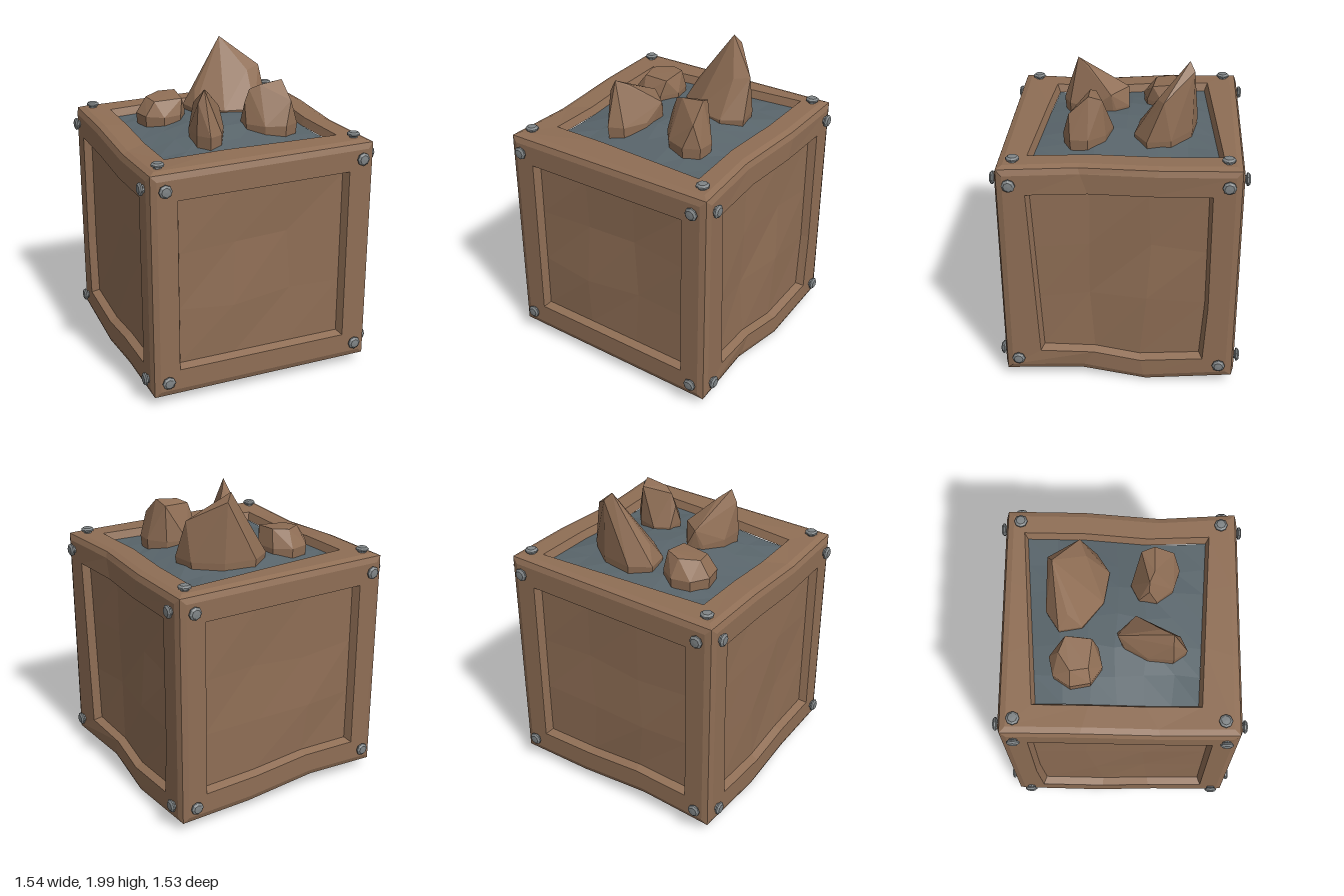
import * as THREE from 'three';
import { ConvexGeometry } from 'three/addons/geometries/ConvexGeometry.js';

const V = (x, y, z) => new THREE.Vector3(x, y, z);
const wood = new THREE.MeshStandardMaterial({ name: 'brown', color: 0x8f6e55, flatShading: true });
const slate = new THREE.MeshStandardMaterial({ name: 'slate', color: 0x59656b, flatShading: true });
const metal = new THREE.MeshStandardMaterial({ name: 'grey metal', color: 0x7f8486, flatShading: true });

const HALF = V(0.735, 0.74, 0.73), MID_Y = 0.8;
const X = V(1, 0, 0), Y = V(0, 1, 0), Z = V(0, 0, 1);

// seeded jitter in -1..1
let seed = 11;
const jitter = () => {
  seed = (seed * 16807) % 2147483647;
  return (seed / 2147483647) * 2 - 1;
};

// tent curve: 0 at a and c, 1 at b
const tent = (t, a, b, c) => Math.max(0, Math.min((t - a) / (b - a), (c - t) / (c - b)));

// hand-hewn warp of the straight box: dipping bottom rails, dented left side, tilted top
function warp(p) {
  const low = THREE.MathUtils.clamp((0.5 - p.y) / 0.25, 0, 1);
  const high = THREE.MathUtils.clamp((p.y - 1) / 0.3, 0, 1);
  const side = Math.min(1, Math.abs(p.x) / 0.55);
  const back = tent(p.z, -0.7, -0.23, 0.23), front = tent(p.z, -0.23, 0.23, 0.7);
  const q = p.clone();
  q.y += low * side * (-0.05 * back - 0.005 * front) + high * (0.012 * p.x - 0.014 * p.z) / 0.7;
  q.z += low * side * 0.07 * back;
  if (p.x > 0.3) q.x -= 0.035 * front;
  if (p.x < -0.3) q.y -= 0.025 * high * front;
  if (p.z < -0.3) q.y += 0.035 * low * tent(p.x, -0.7, -0.24, 0.24);
  return q;
}

// faces: normal n, axes u and v, opening corners counter-clockwise
const square = [[-0.56, -0.56], [0.56, -0.56], [0.56, 0.56], [-0.56, 0.56]];
const slanted = [[-0.5, -0.58], [0.55, -0.58], [0.55, 0.56], [-0.55, 0.56]];
const skewed = [[-0.55, -0.49], [0.57, -0.55], [0.57, 0.61], [-0.55, 0.53]];
const faces = [
  { name: 'front', n: Z, u: X, v: Y, open: square },
  { name: 'back', n: Z.clone().negate(), u: X.clone().negate(), v: Y, open: square },
  { name: 'left', n: X, u: Z.clone().negate(), v: Y, open: slanted },
  { name: 'right', n: X.clone().negate(), u: Z, v: Y, open: square },
  { name: 'top', n: Y, u: X, v: Z.clone().negate(), open: skewed },
  { name: 'bottom', n: Y.clone().negate(), u: X, v: Z, open: square },
];
const half = (axis) => Math.abs(axis.dot(HALF));
const place = (f, a, b, w) => warp(V(0, MID_Y, 0).addScaledVector(f.u, a).addScaledVector(f.v, b).addScaledVector(f.n, w));
const shrink = (c) => c.map(([a, b]) => [a - Math.sign(a) * 0.02, b - Math.sign(b) * 0.02]);

function meshFrom(name, tris, material) {
  const geo = new THREE.BufferGeometry().setFromPoints(tris);
  geo.computeVertexNormals();
  const mesh = new THREE.Mesh(geo, material);
  mesh.name = name;
  return mesh;
}
const quad = (out, a, b, c, d) => out.push(a, b, c, a, c, d);

// twelve points round four corners, three to a side
function ring(f, corners, w) {
  const pts = [];
  corners.forEach((c, i) => {
    const d = corners[(i + 1) % 4];
    for (let k = 0; k < 3; k++) {
      const t = k / 3;
      pts.push(place(f, c[0] + (d[0] - c[0]) * t, c[1] + (d[1] - c[1]) * t, w));
    }
  });
  return pts;
}

// rounded frame with a sloping rebate
function buildFrame(f) {
  const w = half(f.n), hu = half(f.u), hv = half(f.v);
  const outline = (c) => [[-hu + c, -hv + c], [hu - c, -hv + c], [hu - c, hv - c], [-hu + c, hv - c]];
  const rings = [
    ring(f, outline(0.014), w - 0.014),
    ring(f, outline(0.05), w),
    ring(f, f.open, w),
    ring(f, shrink(f.open), w - 0.05),
  ];
  const tris = [];
  for (let r = 0; r < 3; r++) {
    for (let i = 0; i < 12; i++) {
      const j = (i + 1) % 12;
      quad(tris, rings[r][i], rings[r][j], rings[r + 1][j], rings[r + 1][i]);
    }
  }
  return meshFrom(f.name + 'Frame', tris, wood);
}

// uneven recessed panel on an n by n grid, raised in the middle by bulge
function buildPanel(f, n, rough, bulge, name, material) {
  const c = shrink(f.open), grid = [], tris = [];
  for (let j = 0; j <= n; j++) {
    for (let i = 0; i <= n; i++) {
      const s = i / n, t = j / n;
      const at = (k) => (c[0][k] * (1 - s) + c[1][k] * s) * (1 - t) + (c[3][k] * (1 - s) + c[2][k] * s) * t;
      const inner = i > 0 && j > 0 && i < n && j < n ? 1 : 0;
      const lift = inner * (jitter() * rough + bulge * Math.sin(Math.PI * s) * Math.sin(Math.PI * t));
      const shift = (inner * 0.12) / n;
      grid.push(place(f, at(0) + jitter() * shift, at(1) + jitter() * shift, half(f.n) - 0.05 + lift));
    }
  }
  for (let j = 0; j < n; j++) {
    for (let i = 0; i < n; i++) {
      const k = j * (n + 1) + i;
      quad(tris, grid[k], grid[k + 1], grid[k + n + 2], grid[k + n + 1]);
    }
  }
  return meshFrom(name, tris, material);
}

// faceted bolt with a domed cap, axis along +y
const boltProfile = [[0.026, -0.01], [0.026, 0.008], [0.041, 0.014], [0.041, 0.024], [0.028, 0.034], [0, 0.036]];
const boltGeometry = new THREE.LatheGeometry(boltProfile.map(([r, y]) => new THREE.Vector2(r, y)), 8);

function buildBolts(f) {
  const group = new THREE.Group();
  group.name = f.name + 'Bolts';
  for (const a of [-0.64, 0.64]) {
    for (const b of [-0.625, 0.635]) {
      const bolt = new THREE.Mesh(boltGeometry, metal);
      bolt.name = 'bolt';
      bolt.position.copy(place(f, a, b, half(f.n)));
      bolt.quaternion.setFromUnitVectors(Y, f.n);
      group.add(bolt);
    }
  }
  return group;
}

// chipped rock: an eight-sided oval foot (long axis turned by angle in x, z) hulled with a few peaks
function buildRock(name, cx, cz, long, short, angle, peaks) {
  const pts = peaks.map((p) => V(...p));
  for (let i = 0; i < 8; i++) {
    const t = (i / 8) * Math.PI * 2;
    for (const [y, size] of [[1.47, 0.95], [1.57, 1]]) {
      const a = Math.cos(t) * long * size, b = Math.sin(t) * short * size;
      pts.push(V(cx + a * Math.cos(angle) - b * Math.sin(angle), y, cz + a * Math.sin(angle) + b * Math.cos(angle)));
    }
  }
  const rock = new THREE.Mesh(new ConvexGeometry(pts), wood);
  rock.name = name;
  return rock;
}

export function createModel() {
  const model = new THREE.Group();
  model.name = 'crateOfRocks';
  for (const f of faces) {
    model.add(buildFrame(f));
    if (f.name === 'top') model.add(buildPanel(f, 6, 0.008, 0.075, 'slateFill', slate));
    else model.add(buildPanel(f, 3, 0.018, 0, f.name + 'Panel', wood));
    if (f.name !== 'bottom') model.add(buildBolts(f));
  }
  model.add(
    buildRock('tallRock', 0.165, -0.265, 0.28, 0.175, 0.42,
      [[0.18, 2, -0.4], [0.22, 1.95, -0.43], [0.4, 1.82, -0.25], [0.3, 1.8, -0.21], [-0.03, 1.68, -0.32]]),
    buildRock('lowRock', -0.29, -0.27, 0.16, 0.165, 0.2,
      [[-0.38, 1.67, -0.3], [-0.36, 1.66, -0.19], [-0.27, 1.68, -0.37], [-0.17, 1.69, -0.33], [-0.18, 1.67, -0.17]]),
    buildRock('slantedRock', -0.16, 0.19, 0.22, 0.11, -1.31,
      [[-0.22, 1.85, 0.31], [-0.17, 1.81, 0.24], [-0.26, 1.77, 0.31], [-0.03, 1.67, 0.09], [-0.16, 1.68, -0.02]]),
    buildRock('bluntRock', 0.26, 0.21, 0.18, 0.135, 0.6,
      [[0.11, 1.7, 0.17], [0.14, 1.78, 0.17], [0.2, 1.81, 0.2], [0.35, 1.83, 0.2], [0.33, 1.8, 0.12], [0.36, 1.72, 0.32]]),
  );
  return model;
}
